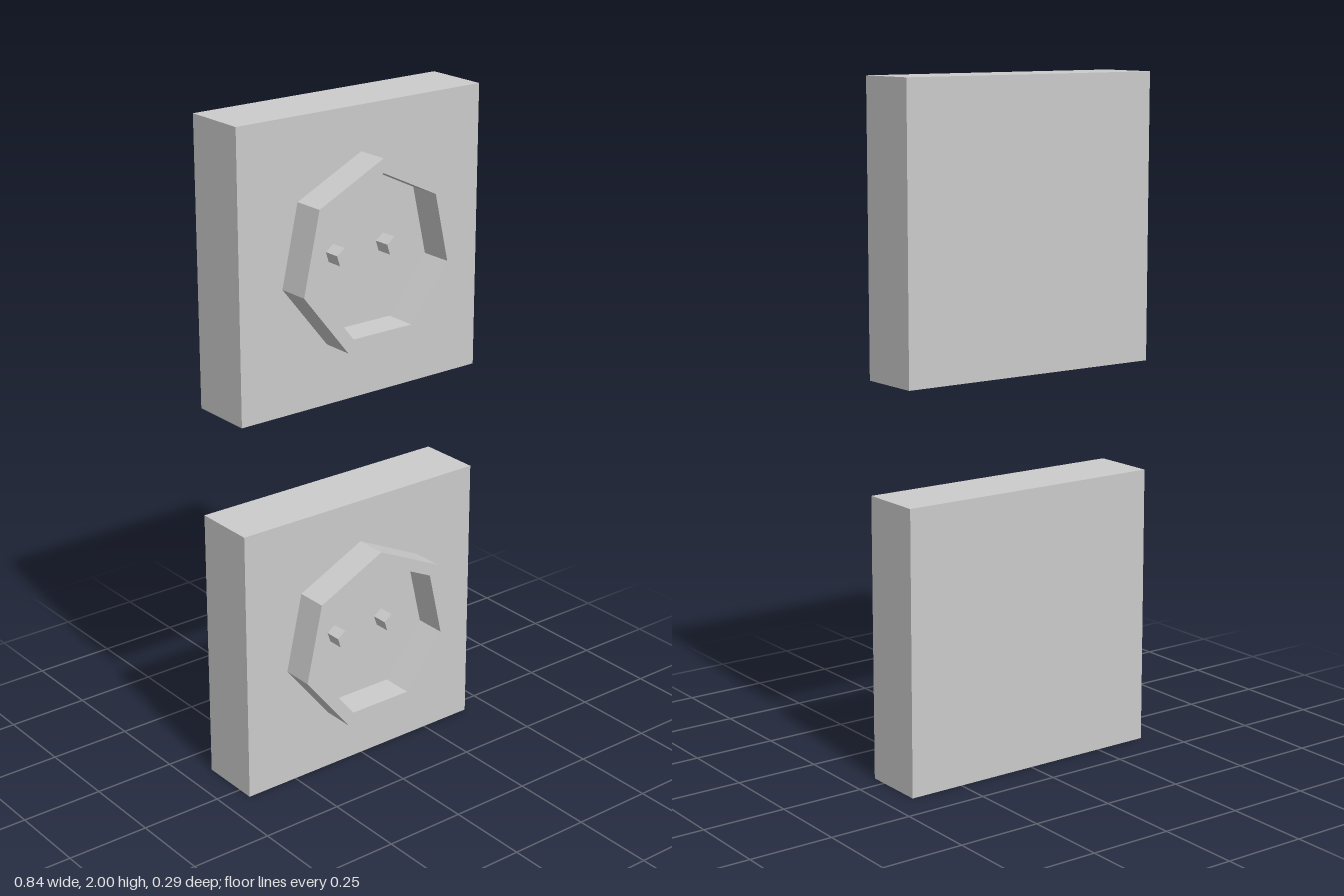
import * as THREE from 'three';

const material = new THREE.MeshStandardMaterial({ color: 0xcccccc, flatShading: true });

// Corners of a regular polygon with one corner pointing up
function polygon(sides, radius) {
  return Array.from({ length: sides }, (_, i) => {
    const a = Math.PI / 2 + (i * 2 * Math.PI) / sides;
    return new THREE.Vector2(radius * Math.cos(a), radius * Math.sin(a));
  });
}

function prism(name, shape, depth, x, y, z) {
  const geometry = new THREE.ExtrudeGeometry(shape, { depth, bevelEnabled: false });
  const mesh = new THREE.Mesh(geometry, material);
  mesh.name = name;
  mesh.position.set(x, y, z);
  return mesh;
}

// One wall socket: square plate, seven-sided rim and two five-sided pins
function createSocket(name) {
  const size = 0.836, back = -0.146, face = 0.049;
  const socket = new THREE.Group();
  socket.name = name;

  const plate = new THREE.Mesh(new THREE.BoxGeometry(size, size, face - back), material);
  plate.name = 'plate';
  plate.position.set(0, size / 2, (face + back) / 2);
  socket.add(plate);

  const rim = new THREE.Shape(polygon(7, 0.278));
  rim.holes.push(new THREE.Path(polygon(7, 0.237)));
  socket.add(prism('rim', rim, 0.097, -0.004, 0.429, face));

  for (const [pinName, x] of [['rightPin', -0.101], ['leftPin', 0.074]]) {
    socket.add(prism(pinName, new THREE.Shape(polygon(5, 0.027)), 0.05, x, 0.437, face));
  }
  return socket;
}

export function createModel() {
  const model = new THREE.Group();
  model.name = 'wallSockets';
  const lower = createSocket('lowerSocket');
  const upper = createSocket('upperSocket');
  upper.position.y = 1.164;
  model.add(lower, upper);
  return model;
}
